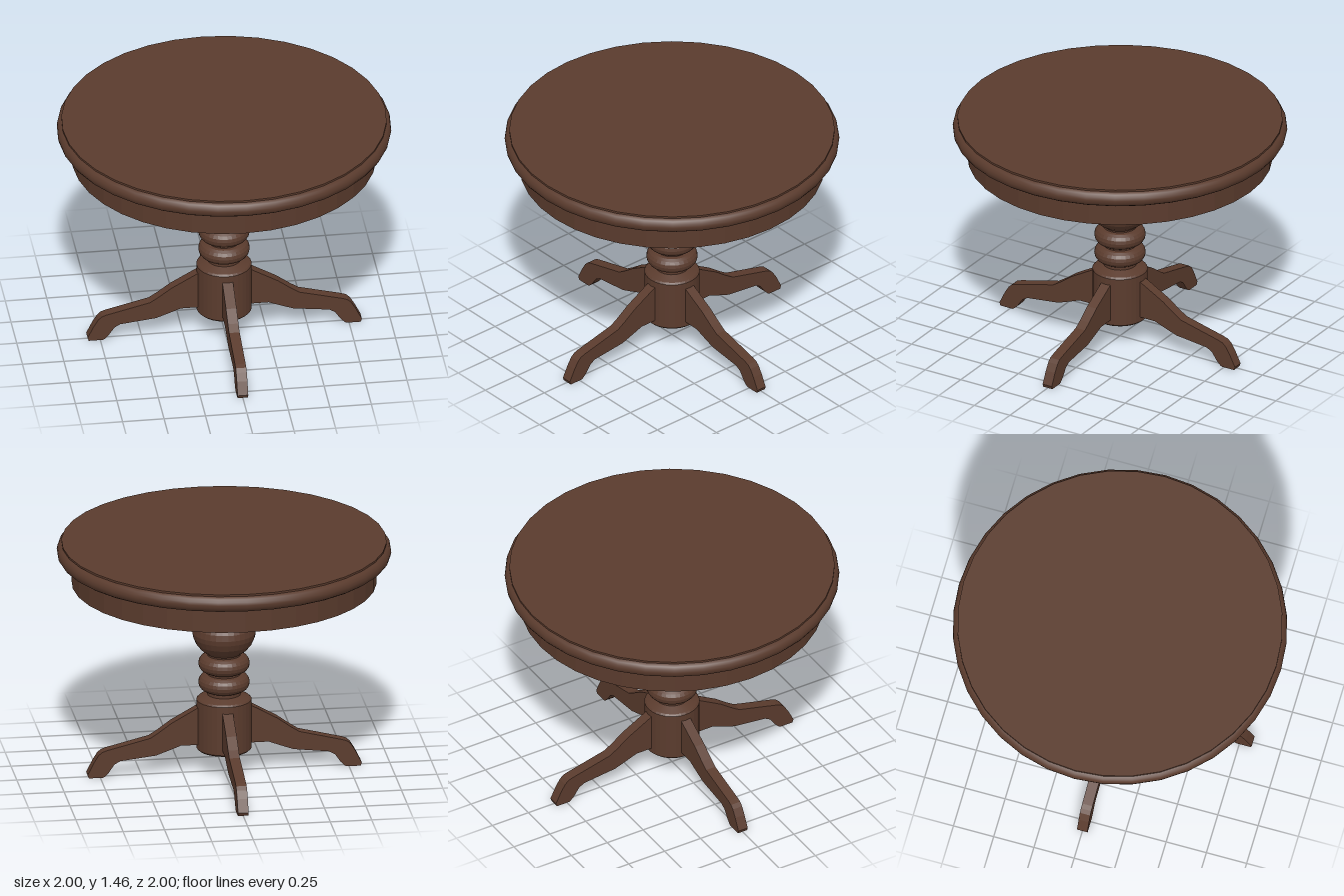
import * as THREE from 'three';
import { toCreasedNormals } from 'three/addons/utils/BufferGeometryUtils.js';

const wood = new THREE.MeshStandardMaterial({ color: 0x5a3b2d });
wood.name = 'darkWood';

const FACETED = 0.12;
const ROUNDED = 0.6;

// Turned part: profile of [radius, y] pairs listed from bottom to top
function turned(name, profile, segments, crease) {
  const points = profile.map(([r, y]) => new THREE.Vector2(r, y));
  const geometry = toCreasedNormals(new THREE.LatheGeometry(points, segments), crease);
  const mesh = new THREE.Mesh(geometry, wood);
  mesh.name = name;
  return mesh;
}

// Half-round bead for a turned profile
function bead(y, halfHeight, innerRadius, bulge, steps = 8) {
  return Array.from({ length: steps + 1 }, (_, i) => {
    const a = -Math.PI / 2 + (Math.PI * i) / steps;
    return [innerRadius + bulge * Math.cos(a), y + halfHeight * Math.sin(a)];
  });
}

// Curved foot, cut from a flat board and standing out along +x
function makeLegGeometry(thickness) {
  const outline = [
    [0.12, 0.18], [0.265, 0.18], [0.345, 0.15], [0.415, 0.125], [0.63, 0.1],
    [0.665, 0.08], [0.7, 0.03], [0.725, 0.005], [0.735, 0], [0.82, 0], [0.827, 0.02],
    [0.79, 0.095], [0.762, 0.14], [0.74, 0.16], [0.712, 0.17], [0.45, 0.235],
    [0.4, 0.267], [0.32, 0.325], [0.16, 0.415], [0.12, 0.43],
  ];
  const shape = new THREE.Shape(outline.map(([x, y]) => new THREE.Vector2(x, y)));
  const geometry = new THREE.ExtrudeGeometry(shape, { depth: thickness, bevelEnabled: false });
  geometry.translate(0, 0, -thickness / 2);
  return geometry;
}

export function createModel() {
  const table = new THREE.Group();
  table.name = 'roundPedestalTable';

  // Round top with a moulded rim
  table.add(turned('tabletop', [
    [0, 1.345], ...bead(1.395, 0.05, 0.95, 0.05),
    [0.972, 1.445], [0.972, 1.457], [0, 1.457],
  ], 36, ROUNDED));

  // Hollow apron below the top
  table.add(turned('apron', [
    [0.84, 1.346], [0.84, 1.195], [0.912, 1.195], [0.912, 1.346],
  ], 36, FACETED));

  // Turned column: base block, two rings, vase and flared neck
  table.add(turned('column', [
    [0, 0.14], [0.155, 0.14], [0.165, 0.15], [0.165, 0.455], [0.155, 0.465], [0.1, 0.487],
    [0.1, 0.51], ...bead(0.563, 0.052, 0.1, 0.054),
    [0.1, 0.625], ...bead(0.683, 0.053, 0.1, 0.054),
    [0.1, 0.745], [0.14, 0.775], [0.168, 0.81], [0.185, 0.85], [0.19, 0.88], [0.184, 0.915],
    [0.165, 0.95], [0.135, 0.985], [0.1, 1.022], [0.068, 1.062],
    [0.082, 1.1], ...bead(1.123, 0.02, 0.085, 0.02, 6),
    [0.082, 1.145], [0.1, 1.2], [0.123, 1.346],
  ], 32, FACETED));

  // Four legs around the base block
  const legGeometry = makeLegGeometry(0.064);
  ['left', 'back', 'right', 'front'].forEach((side, i) => {
    const leg = new THREE.Mesh(legGeometry, wood);
    leg.name = side + 'Leg';
    leg.rotation.y = (i * Math.PI) / 2;
    table.add(leg);
  });

  return table;
}
